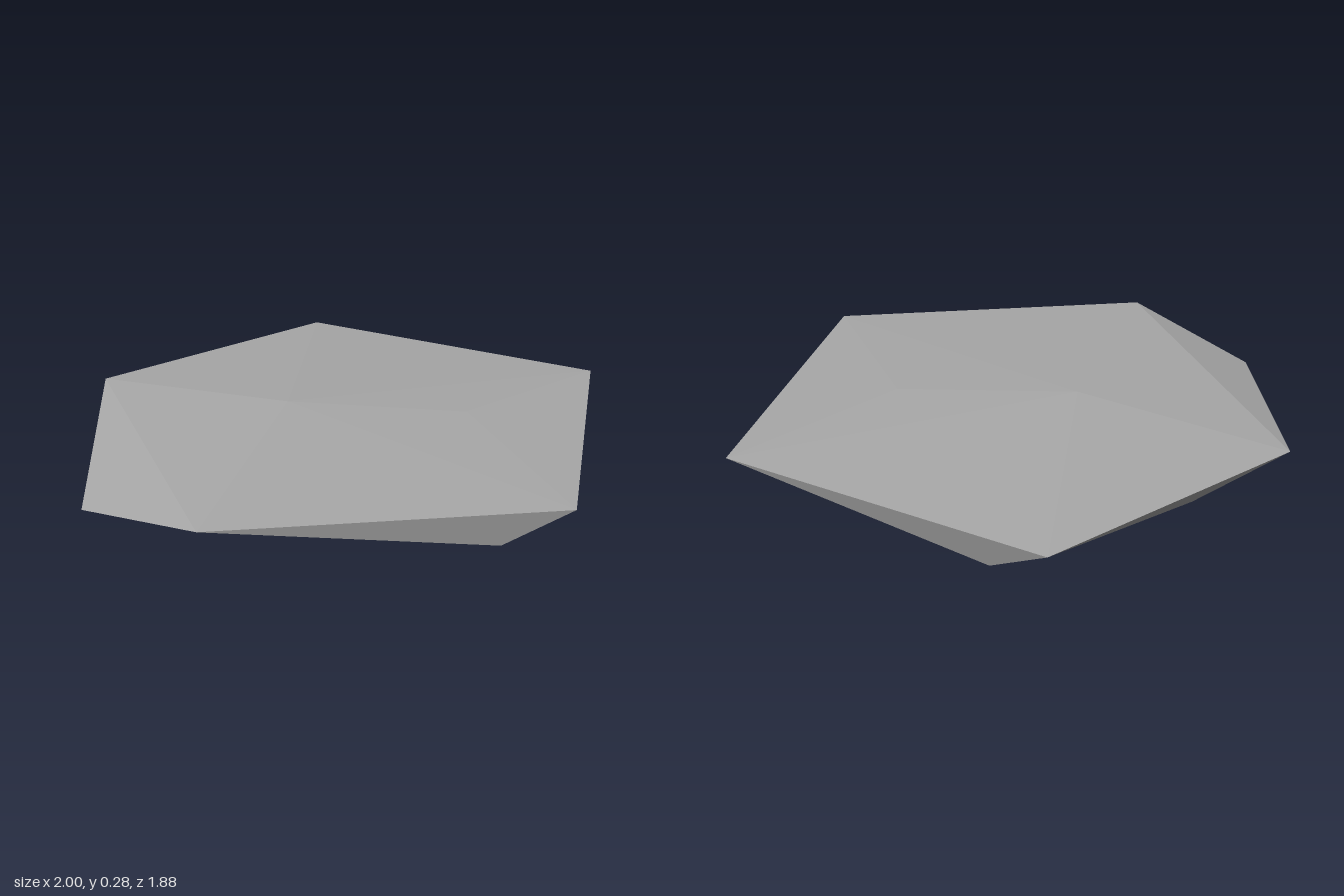
import * as THREE from 'three';
import { ConvexGeometry } from 'three/addons/geometries/ConvexGeometry.js';

export function createModel() {
  const group = new THREE.Group();
  group.name = 'flatRock';
  const stone = new THREE.MeshStandardMaterial({ color: 0xa8a8a8, flatShading: true });
  stone.name = 'stone grey';

  // Corners of the slab, from the top down
  const crown = [[-0.165, 0.282, -0.17], [0.33, 0.26, 0.2]];
  const rim = [
    [-0.85, 0.24, 0.46], [0.19, 0.23, 0.94], [1, 0.23, 0.08],
    [0.43, 0.23, -0.94], [-0.56, 0.24, -0.81], [-1, 0.145, -0.04],
  ];
  const underside = [
    [0, 0.11, 0.82], [0.82, 0.11, 0.23], [0.5, 0.11, -0.73],
    [-0.24, 0.11, -0.73], [-0.82, 0.08, -0.04],
  ];
  const foot = [[0.18, 0, 0.09]];

  // Faceted stone stretched over the corners
  const corners = [...crown, ...rim, ...underside, ...foot].map((p) => new THREE.Vector3(...p));
  const rock = new THREE.Mesh(new ConvexGeometry(corners), stone);
  rock.name = 'rock';
  group.add(rock);
  return group;
}
